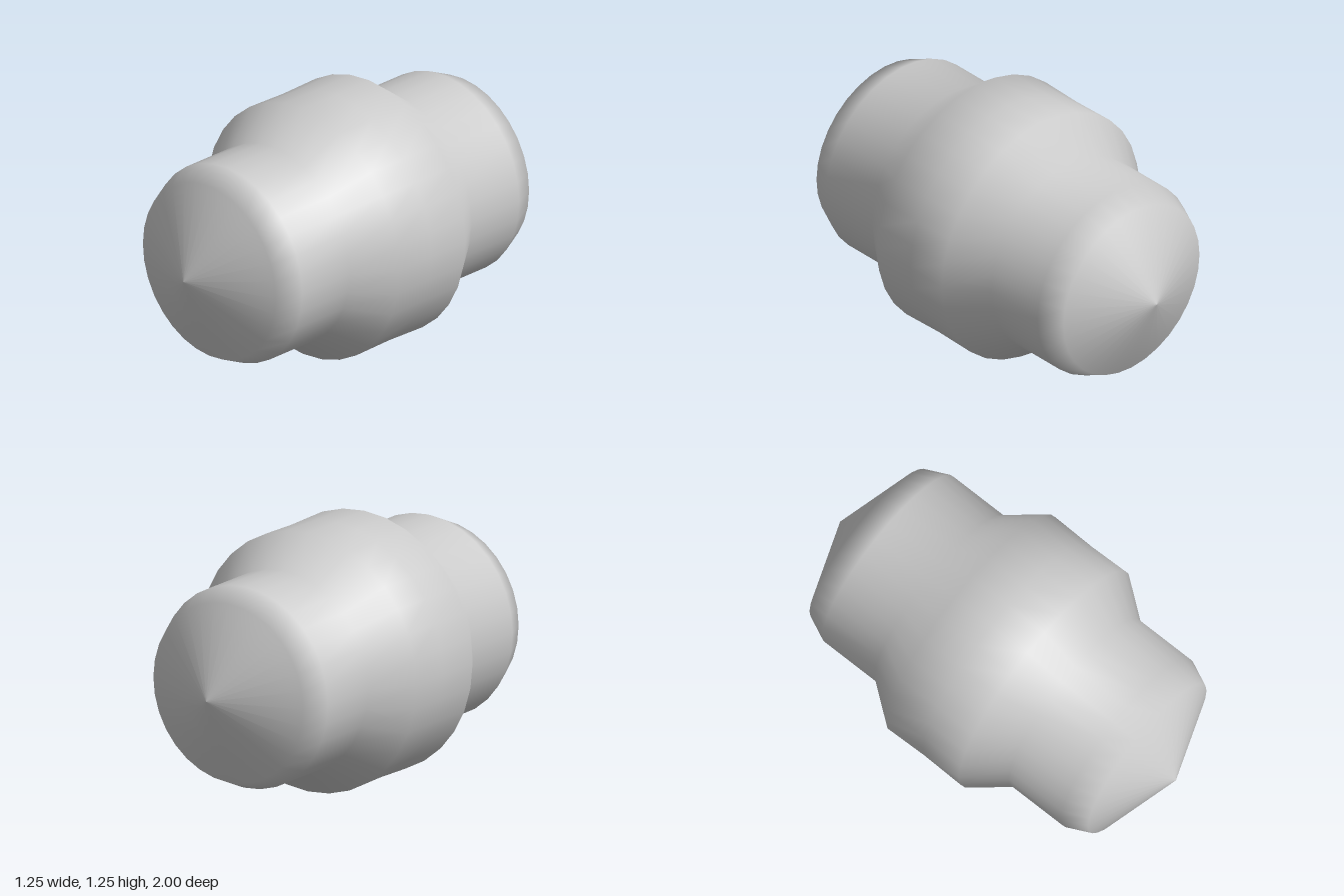
import * as THREE from 'three';

export function createModel() {
  const group = new THREE.Group();
  const material = new THREE.MeshStandardMaterial({ color: 0xcccccc });

  // Half profile [radius, distance along the axis] from the pointed tip to the waist
  const half = [[0, 1], [0.43, 0.83], [0.484, 0.71], [0.484, 0.4], [0.623, 0.217]];
  const profile = [
    ...half.map(([r, z]) => new THREE.Vector2(r, -z)),
    new THREE.Vector2(0.618, 0), // very slight dip around the middle
    ...half.slice().reverse().map(([r, z]) => new THREE.Vector2(r, z)),
  ];

  // Smooth turned body, lying along z
  const geometry = new THREE.LatheGeometry(profile, 32);
  geometry.rotateX(Math.PI / 2);
  const body = new THREE.Mesh(geometry, material);
  body.name = 'barrelBody';
  body.position.y = 0.626;
  group.add(body);

  return group;
}
